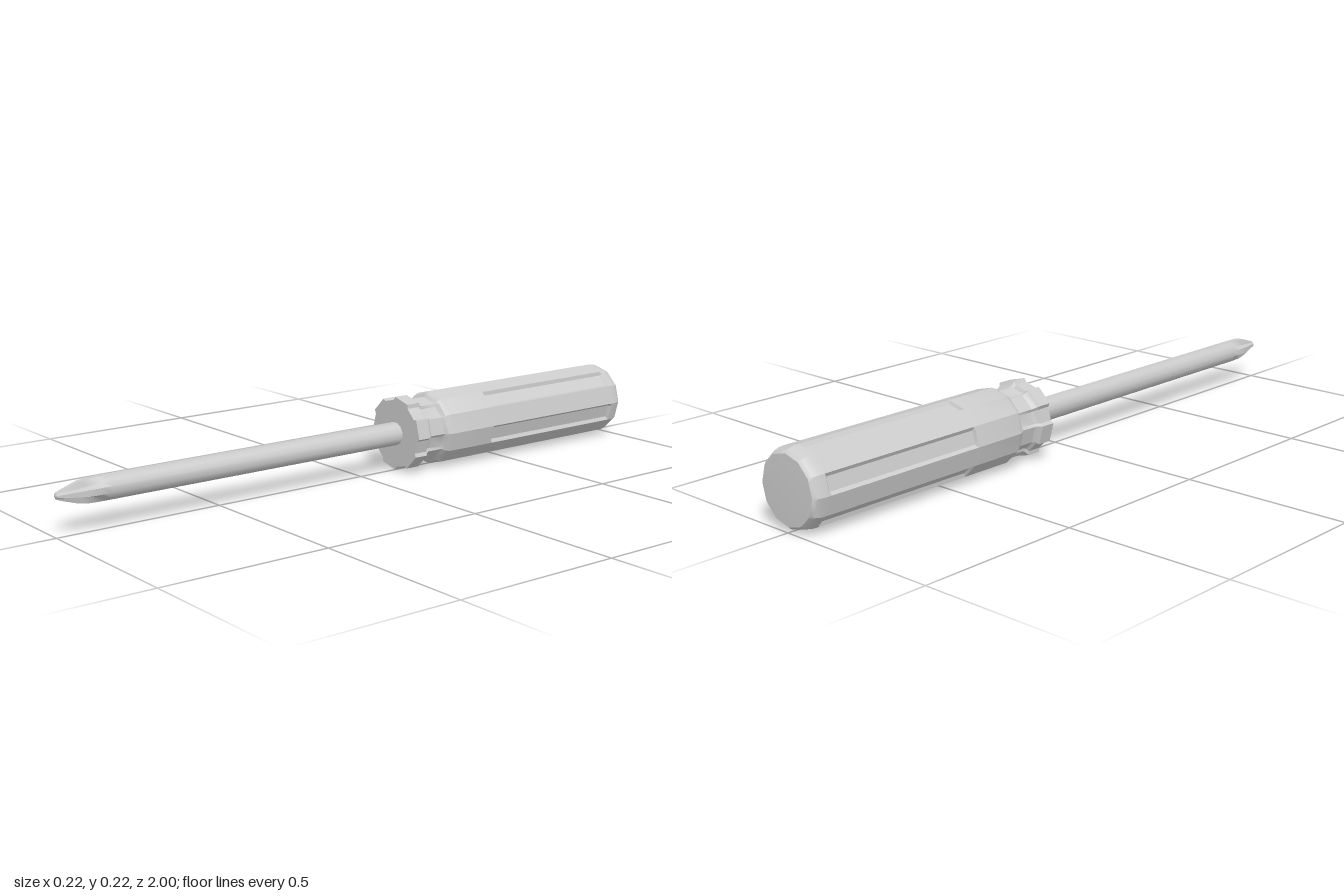
import * as THREE from 'three';
import { toCreasedNormals } from 'three/addons/utils/BufferGeometryUtils.js';

const AXIS_Y = 0.112;
const material = new THREE.MeshStandardMaterial({ color: 0xcccccc });

// Skins cross-sections ordered by increasing z; each is { z, pts: [[x, y], ...] } counter-clockwise.
function loft(sections, zBack, zFront, crease) {
  const n = sections[0].pts.length;
  const positions = [];
  const index = [];
  for (const { z, pts } of sections) {
    for (const [x, y] of pts) positions.push(x, y + AXIS_Y, z);
  }
  for (let i = 0; i < sections.length - 1; i++) {
    for (let j = 0; j < n; j++) {
      const k = (j + 1) % n;
      const a = i * n + j, b = i * n + k, c = b + n, d = a + n;
      index.push(a, b, c, a, c, d);
    }
  }
  // End caps as fans
  const back = positions.length / 3;
  const last = (sections.length - 1) * n;
  positions.push(0, AXIS_Y, zBack, 0, AXIS_Y, zFront);
  for (let j = 0; j < n; j++) {
    const k = (j + 1) % n;
    index.push(back, k, j, back + 1, last + j, last + k);
  }
  const geometry = new THREE.BufferGeometry();
  geometry.setAttribute('position', new THREE.Float32BufferAttribute(positions, 3));
  geometry.setIndex(index);
  return toCreasedNormals(geometry, crease);
}

const polar = (r, degrees) => {
  const a = THREE.MathUtils.degToRad(degrees);
  return [r * Math.cos(a), r * Math.sin(a)];
};

// Twelve-sided section whose alternate sides are sunk by the given depth
function handleSection([z, r, depth]) {
  const pts = [];
  for (let i = 0; i < 6; i++) {
    const start = 30 + i * 60;
    const [ax, ay] = polar(r, start);
    const [bx, by] = polar(r, start + 30);
    const [dx, dy] = polar(depth, start + 15);
    pts.push([ax, ay]);
    for (const t of [0.16, 0.84]) pts.push([ax + (bx - ax) * t - dx, ay + (by - ay) * t - dy]);
    pts.push([bx, by]);
  }
  return { z, pts };
}

// Twelve-sided section: pairs of points form the four ribs, the point between is the valley
function shaftSection([z, rib, valley]) {
  const pts = [];
  for (let i = 0; i < 12; i++) pts.push(polar(i % 3 === 1 ? valley : rib, 15 + i * 30));
  return { z, pts };
}

export function createModel() {
  const group = new THREE.Group();

  // Handle: rounded butt, fluted grip, shoulder, neck and scalloped collar [z, radius, flute depth]
  const handleRings = [
    [-0.997, 0.098, 0],
    [-0.988, 0.106, 0],
    [-0.97, 0.111, 0],
    [-0.952, 0.112, 0],
    [-0.945, 0.112, 0.008],
    [-0.434, 0.112, 0.008],
    [-0.43, 0.112, 0],
    [-0.265, 0.112, 0],
    [-0.25, 0.106, 0],
    [-0.242, 0.097, 0.003],
    [-0.19, 0.097, 0.006],
    [-0.18, 0.103, 0.008],
    [-0.174, 0.112, 0.008],
    [-0.13, 0.112, 0.008],
  ];
  const handle = new THREE.Mesh(
    loft(handleRings.map(handleSection), -1, -0.13, 0.48), material);
  handle.name = 'handle';
  group.add(handle);

  // Shaft with cross-shaped tip [z, rib radius, valley radius]
  const shaftRings = [
    [-0.15, 0.035, 0.035],
    [0.85, 0.035, 0.035],
    [0.875, 0.035, 0.028],
    [0.91, 0.034, 0.02],
    [0.935, 0.03, 0.016],
    [0.985, 0.014, 0.009],
    [0.997, 0.009, 0.006],
  ];
  const shaft = new THREE.Mesh(
    loft(shaftRings.map(shaftSection), -0.15, 1, 0.6), material);
  shaft.name = 'shaftAndTip';
  group.add(shaft);

  return group;
}
